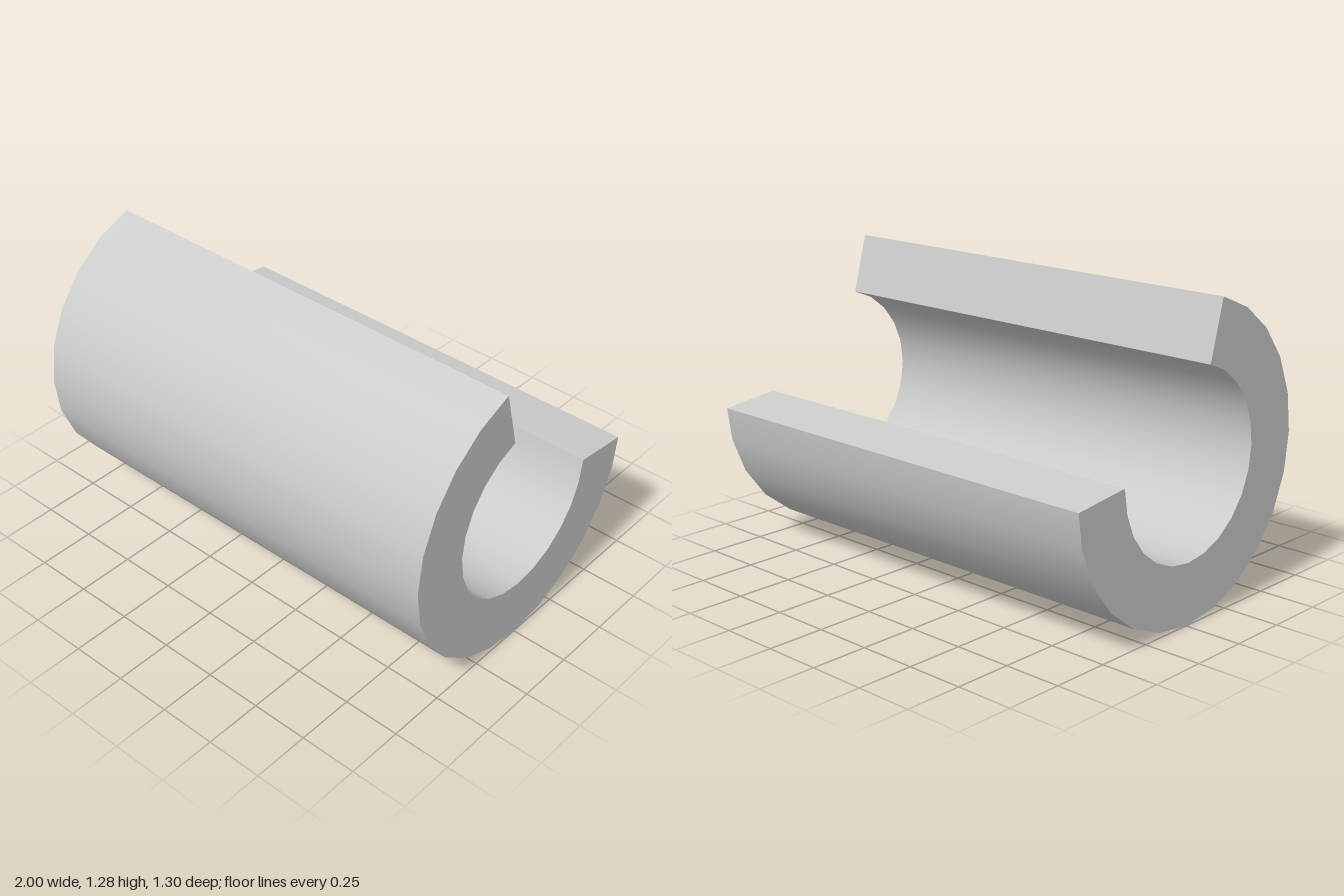
import * as THREE from 'three';
import { toCreasedNormals } from 'three/addons/utils/BufferGeometryUtils.js';

const CENTER_Y = 0.65, OUTER = 0.65, INNER = 0.39, LENGTH = 2;

// Points of an arc running from the front lip, under the bottom, to the back lip.
function arc(radius) {
  const points = [];
  for (let deg = 75; deg >= -165; deg -= 15) {
    const a = THREE.MathUtils.degToRad(deg);
    points.push(new THREE.Vector2(-radius * Math.cos(a), CENTER_Y + radius * Math.sin(a)));
  }
  return points;
}

export function createModel() {
  const group = new THREE.Group();
  group.name = 'openTube';

  // C-shaped wall section; the back lip slopes slightly inwards and up
  const profile = new THREE.Shape([
    ...arc(OUTER),
    new THREE.Vector2(0.648, 0.625),
    new THREE.Vector2(0.394, 0.655),
    ...arc(INNER).reverse(),
  ]);

  // Section swept along x, smooth around the wall and sharp at lips and ends
  const swept = new THREE.ExtrudeGeometry(profile, { depth: LENGTH, bevelEnabled: false });
  swept.translate(0, 0, -LENGTH / 2);
  swept.rotateY(Math.PI / 2);
  const tube = new THREE.Mesh(
    toCreasedNormals(swept, Math.PI / 6),
    new THREE.MeshStandardMaterial({ color: 0xcccccc })
  );
  tube.name = 'tubeWall';
  group.add(tube);
  return group;
}
